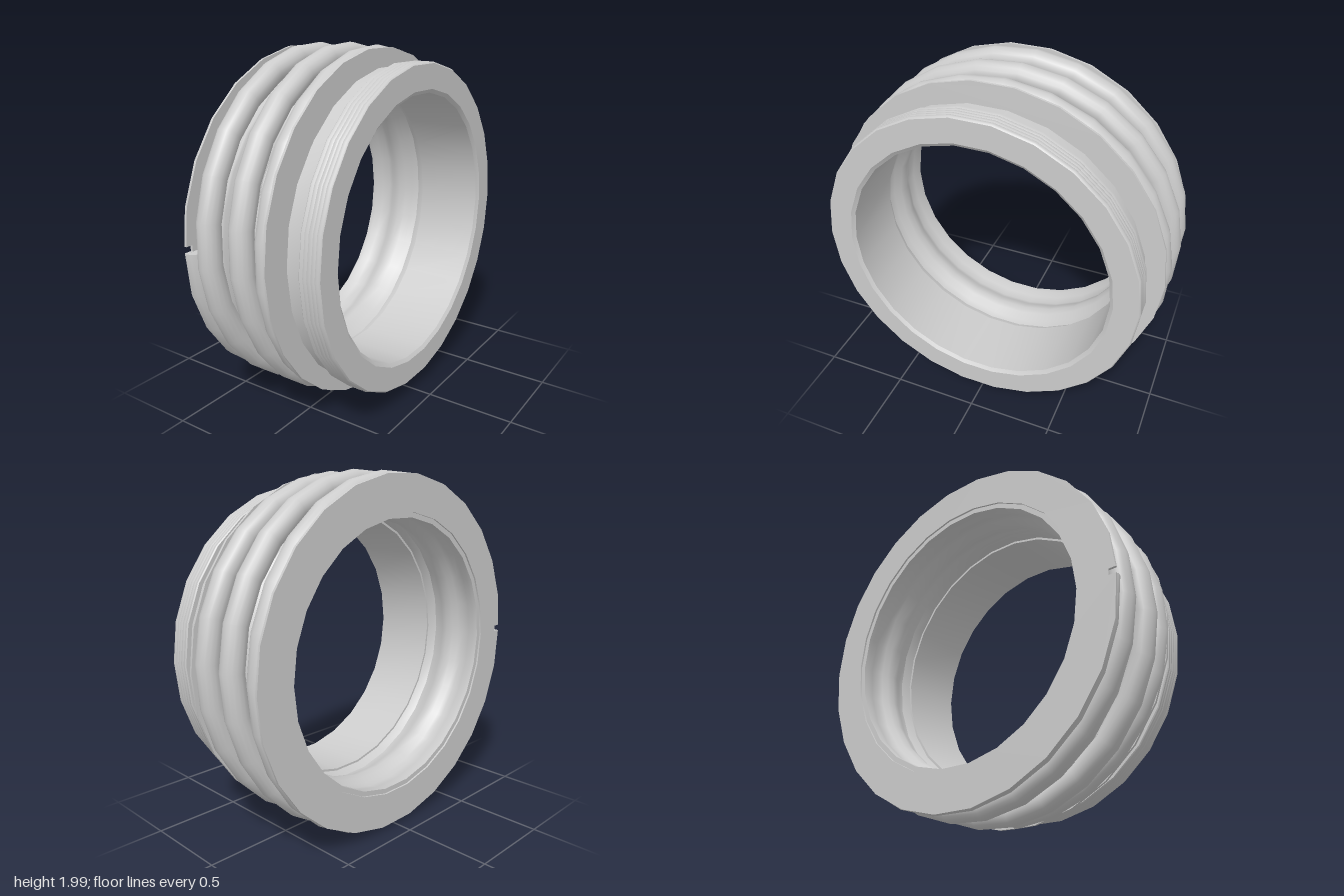
import * as THREE from 'three';
import { toCreasedNormals } from 'three/addons/utils/BufferGeometryUtils.js';

const SIDES = 26;
const grey = new THREE.MeshStandardMaterial({ color: 0xcccccc, side: THREE.DoubleSide });

function addMesh(parent, name, geometry) {
  const mesh = new THREE.Mesh(geometry, grey);
  mesh.name = name;
  parent.add(mesh);
}

// Turn a closed [x, radius] profile around the x axis (outside runs towards +x)
function ring(profile) {
  const pts = [...profile, profile[0]].map(([x, r]) => new THREE.Vector2(r, x));
  const geo = new THREE.LatheGeometry(pts, SIDES).rotateZ(-Math.PI / 2);
  return toCreasedNormals(geo, 0.6);
}

// Thin disc with a hole and one small slot in its rim between angles a1 and a2
function slottedFlange(x, thickness, outer, inner, a1, a2) {
  const e = 1e-4, depth = 0.045;
  const rim = [[a1, outer * 0.995], [a1 + e, outer - depth], [a2 - e, outer - depth], [a2, outer * 0.995]];
  const hole = [];
  for (let i = 0; i < SIDES; i++) {
    const a = (i / SIDES) * Math.PI * 2;
    if (a < a1 || a > a2) rim.push([a, outer]);
    hole.push([a, inner]);
  }
  rim.sort((p, q) => p[0] - q[0]);
  const toPoint = ([a, r]) => new THREE.Vector2(-r * Math.cos(a), r * Math.sin(a));
  const shape = new THREE.Shape(rim.map(toPoint));
  shape.holes.push(new THREE.Path(hole.map(toPoint)));
  const geo = new THREE.ExtrudeGeometry(shape, { depth: thickness, bevelEnabled: false });
  return toCreasedNormals(geo.rotateY(Math.PI / 2).translate(x, 0, 0), 0.6);
}

// Winding line of the spring: x position at every quarter turn, start at the front going down
const quarterX = [-0.385, -0.382, -0.358, -0.31, -0.268, -0.22, -0.16, -0.1, -0.048, 0.008, 0.05, 0.083, 0.105, 0.112];
const advance = new THREE.SplineCurve(quarterX.map((x, i) => new THREE.Vector2(i, x)));
class SpringCurve extends THREE.Curve {
  getPoint(t, target = new THREE.Vector3()) {
    const a = t * (quarterX.length - 1) * Math.PI / 2;
    const r = 0.918 + 0.019 * Math.sin(Math.PI * t);
    return target.set(advance.getPoint(t).y, -r * Math.sin(a), r * Math.cos(a));
  }
}

// Grind the end coils flat against the flanges
function grind(geo) {
  const p = geo.attributes.position;
  for (let i = 0; i < p.count; i++) p.setX(i, THREE.MathUtils.clamp(p.getX(i), -0.388, 0.122));
  return geo;
}

export function createModel() {
  const model = new THREE.Group();
  model.name = 'bellowsSeal';
  const body = new THREE.Group();
  body.name = 'sealBody';
  body.position.y = 1;
  model.add(body);

  // Flexible sleeve with a rounded waist
  addMesh(body, 'bellowsSleeve', ring([
    [-0.39, 0.87], [-0.25, 0.87], [-0.24, 0.86], [-0.232, 0.82], [-0.215, 0.785], [-0.19, 0.77],
    [-0.16, 0.77], [-0.13, 0.778], [-0.1, 0.8], [-0.075, 0.82], [-0.02, 0.82], [0.13, 0.82],
    [0.13, 0.765], [0.0, 0.765], [-0.05, 0.785], [-0.09, 0.775], [-0.13, 0.748], [-0.17, 0.737],
    [-0.21, 0.745], [-0.24, 0.765], [-0.27, 0.775], [-0.32, 0.765], [-0.36, 0.752], [-0.39, 0.752],
  ]));

  // Spring seats: a collar and a slotted flange at either end of the spring
  addMesh(body, 'rightCollar', ring([[-0.02, 0.865], [-0.015, 0.87], [0.125, 0.87], [0.125, 0.8], [-0.02, 0.8]]));
  addMesh(body, 'leftFlange', slottedFlange(-0.4, 0.014, 0.98, 0.78, 0, 0.036));
  const down = Math.PI * 1.5;
  addMesh(body, 'rightFlange', slottedFlange(0.121, 0.014, 0.98, 0.79, down - 0.018, down + 0.018));

  // Stepped seal ring with a softly rippled rim
  const outside = [[0.13, 0.82], [0.19, 0.82], [0.19, 0.885], [0.278, 0.885], [0.278, 0.909]];
  for (let i = 0; i < 5; i++) {
    const x = 0.278 + i * 0.0235;
    outside.push([x + 0.006, 0.914], [x + 0.0175, 0.914], [x + 0.0235, 0.911]);
  }
  outside.push([0.4, 0.906], [0.4, 0.772], [0.385, 0.752], [0.0, 0.752], [0.0, 0.77], [0.13, 0.77]);
  addMesh(body, 'sealRing', ring(outside));

  // Coil spring with closed, flattened ends
  const spring = new THREE.Group();
  spring.name = 'coilSpring';
  body.add(spring);
  const path = new SpringCurve(), wire = 0.062;
  addMesh(spring, 'springWire', grind(new THREE.TubeGeometry(path, 84, wire, 16, false)));
  for (const t of [0, 1]) {
    const p = path.getPoint(t);
    const cap = new THREE.CircleGeometry(wire, 16);
    if (t === 0) cap.rotateX(-Math.PI / 2);
    else cap.rotateY(Math.PI);
    addMesh(spring, t ? 'springEndCap' : 'springStartCap', grind(cap.translate(p.x, p.y, p.z)));
  }
  return model;
}
